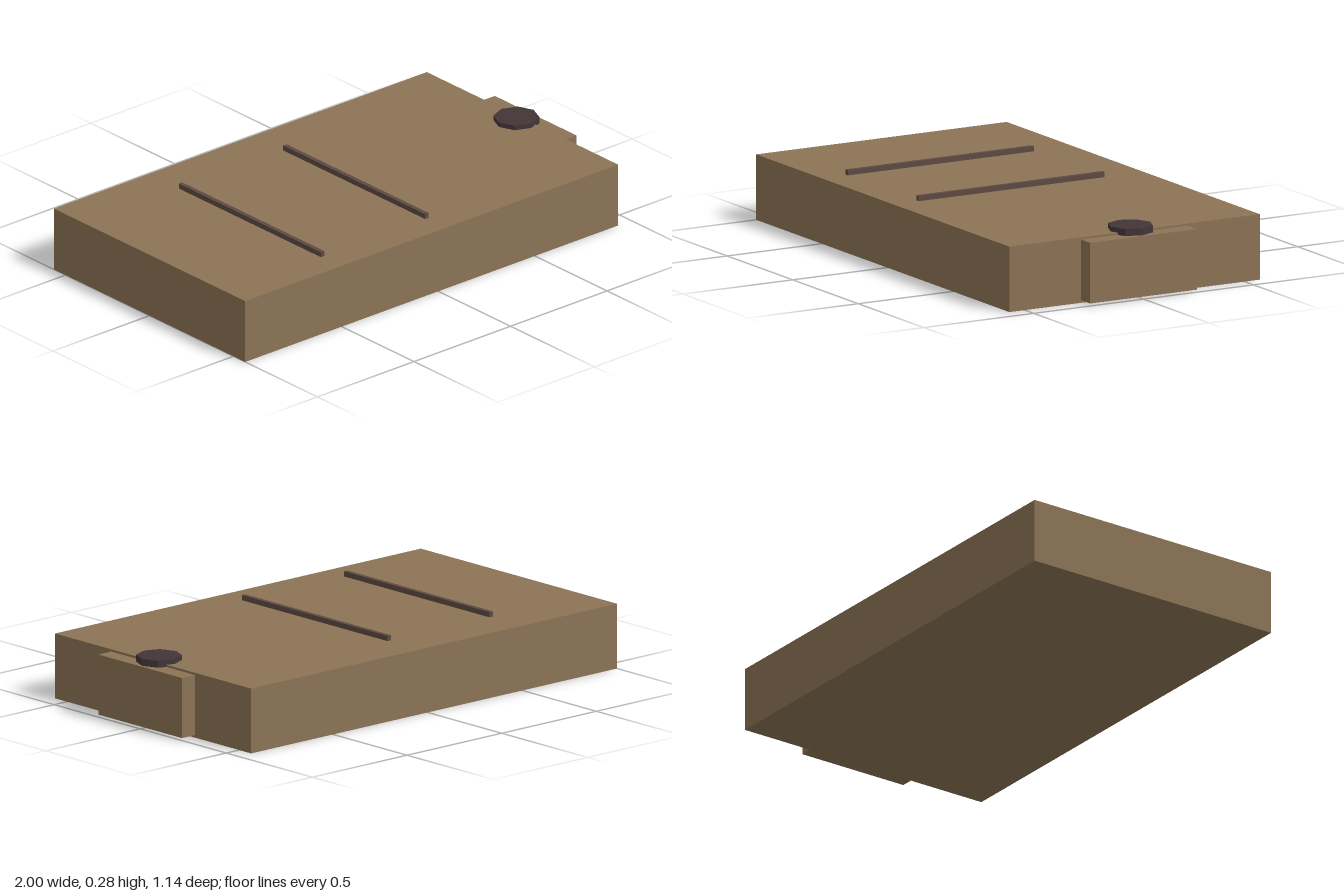
import * as THREE from 'three';

const makeMaterial = (name, color) => {
  const m = new THREE.MeshStandardMaterial({ color });
  m.name = name;
  return m;
};

export function createModel() {
  const tan = makeMaterial('tan brown', 0x8b7355);
  const darkBrown = makeMaterial('dark brown', 0x5d4a42);
  const charcoal = makeMaterial('charcoal', 0x423538);
  charcoal.flatShading = true;

  const model = new THREE.Group();
  model.name = 'slab';

  // Box given by its low and high corners
  const addBox = (name, material, [x0, y0, z0], [x1, y1, z1]) => {
    const mesh = new THREE.Mesh(new THREE.BoxGeometry(x1 - x0, y1 - y0, z1 - z0), material);
    mesh.position.set((x0 + x1) / 2, (y0 + y1) / 2, (z0 + z1) / 2);
    mesh.name = name;
    model.add(mesh);
  };

  // Main block and the flap on its left side
  addBox('body', tan, [-1, 0, -0.57], [0.932, 0.262, 0.57]);
  addBox('flap', tan, [0.932, 0.01, -0.243], [1, 0.253, 0.243]);

  // Two thin raised strips across the top
  [-0.5, 0.04].forEach((x, i) =>
    addBox(`strip${i + 1}`, darkBrown, [x - 0.009, 0.262, -0.39], [x + 0.009, 0.283, 0.456]));

  // Eight-sided clasp button overlapping body and flap
  const button = new THREE.Mesh(new THREE.CylinderGeometry(0.09, 0.09, 0.028, 8), charcoal);
  button.name = 'claspButton';
  button.position.set(0.9, 0.267, 0);
  model.add(button);

  return model;
}
